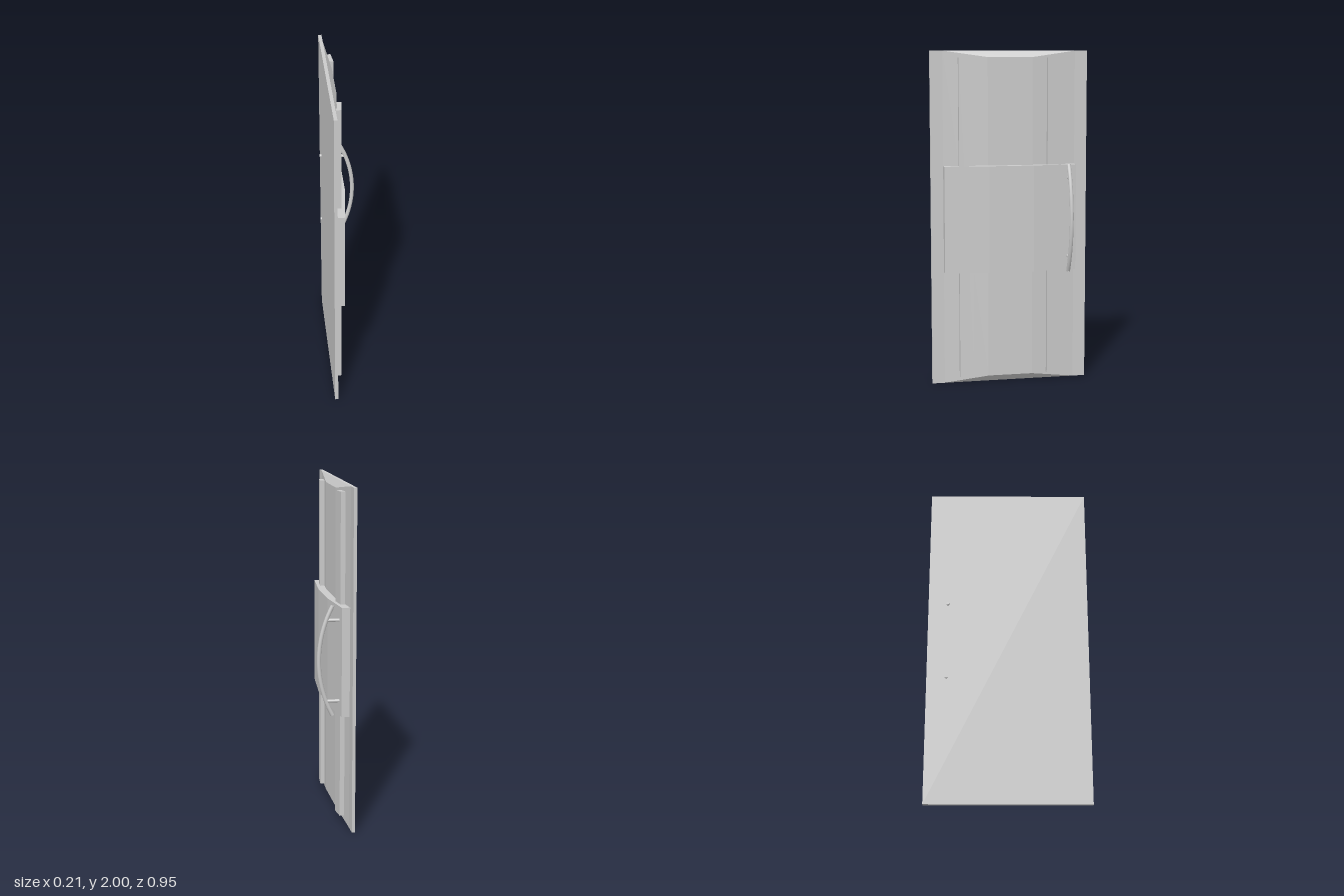
import * as THREE from 'three';

const material = new THREE.MeshStandardMaterial({ color: 0xcccccc, side: THREE.DoubleSide });
const SLAB_FRONT = -0.075, BULGE = 0.028;

// Height of the faceted bulge above the slab at a given z
const bulge = z => BULGE * Math.min(1, (0.4 - Math.abs(z)) / 0.265);

// Extrudes an outline of [x, z] points upwards from y0 to y1
function prism(points, y0, y1) {
  const shape = new THREE.Shape(points.map(([x, z]) => new THREE.Vector2(x, -z)));
  const geometry = new THREE.ExtrudeGeometry(shape, { depth: y1 - y0, bevelEnabled: false });
  return geometry.rotateX(-Math.PI / 2).translate(0, y0, 0);
}

// Strip of constant thickness that follows the bulge through the given z values
function strip(zs, inner, outer, y0, y1) {
  const at = offset => z => [SLAB_FRONT + bulge(z) + offset, z];
  return prism([...zs.map(at(inner)), ...[...zs].reverse().map(at(outer))], y0, y1);
}

export function createModel() {
  const model = new THREE.Group();
  model.name = 'door';
  const add = (name, geometry) => {
    const mesh = new THREE.Mesh(geometry, material);
    mesh.name = name;
    model.add(mesh);
    return mesh;
  };

  // Flat door slab
  add('slab', new THREE.BoxGeometry(0.019, 2, 0.95).translate(SLAB_FRONT - 0.0095, 1, 0));

  // Bulged panel, its top and bottom cut on a slope
  const zs = [-0.4, -0.135, 0.135, 0.4];
  const panel = prism(zs.map(z => [SLAB_FRONT + bulge(z), z]), 0, 2);
  const p = panel.attributes.position;
  for (let i = 0; i < p.count; i++) {
    const inset = (p.getX(i) - SLAB_FRONT) / BULGE * 0.038;
    p.setY(i, p.getY(i) < 1 ? inset : 2 - inset);
  }
  panel.computeVertexNormals();
  add('bulgedPanel', panel);

  // Two upright rails
  for (const side of [-1, 1]) {
    const ends = [0.225, 0.31].map(z => z * side).sort((a, b) => a - b);
    add(side > 0 ? 'frontRail' : 'rearRail', strip(ends, -0.001, 0.027, 0.04, 1.96));
  }

  // Wide push plate across the middle
  add('pushPlate', strip(zs, 0, 0.047, 0.683, 1.323));

  // Bowed pull handle, swept along a circular arc
  const R = 0.695, half = 0.482, z = -0.345;
  const arc = [];
  for (let i = 0; i <= 12; i++) {
    const a = -half + (2 * half * i) / 12;
    arc.push(new THREE.Vector3(0.093 - R + R * Math.cos(a), 1.004 + R * Math.sin(a), z));
  }
  add('handle', new THREE.TubeGeometry(new THREE.CatmullRomCurve3(arc), 24, 0.012, 12));
  for (const end of [arc[0], arc[12]]) {
    const cap = add('handleEnd', new THREE.CircleGeometry(0.012, 12));
    cap.position.copy(end);
    const a = end.y > 1 ? half : -half;
    cap.rotation.set(-Math.sign(a) * Math.PI / 2, Math.abs(a) * Math.sign(a), 0, 'ZXY');
    cap.quaternion.setFromUnitVectors(new THREE.Vector3(0, 0, 1),
      new THREE.Vector3(-Math.sin(a), Math.cos(a), 0).multiplyScalar(Math.sign(a)));
  }

  // Slightly slanted bolts that carry the handle through the door
  for (const y of [0.768, 1.243]) {
    const from = new THREE.Vector3(-0.105, y, -0.36), to = new THREE.Vector3(0.046, y, z);
    const bolt = add('handleBolt', new THREE.CylinderGeometry(0.009, 0.009, from.distanceTo(to), 12));
    bolt.position.copy(from).lerp(to, 0.5);
    bolt.quaternion.setFromUnitVectors(new THREE.Vector3(0, 1, 0), to.clone().sub(from).normalize());
  }
  return model;
}
